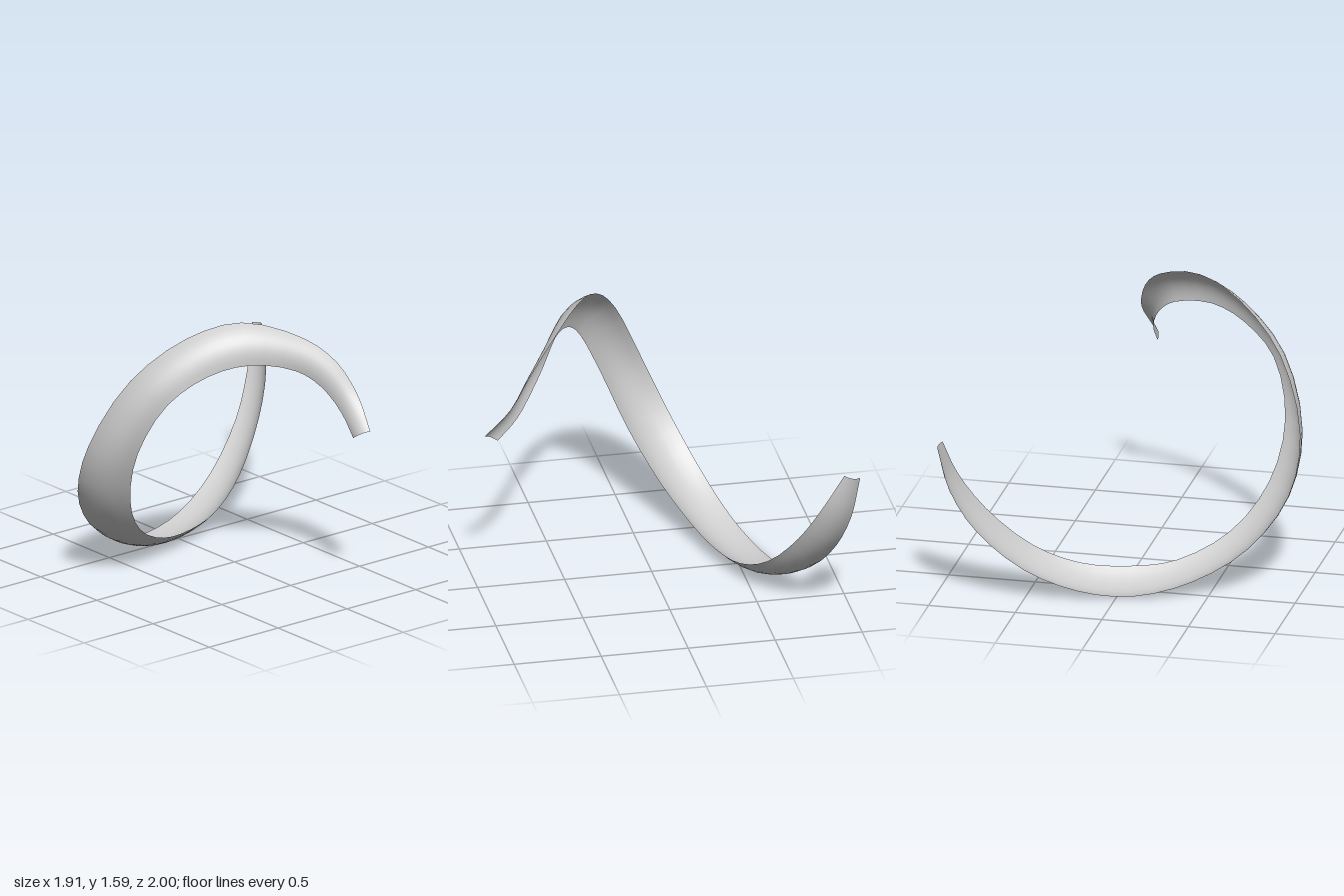
import * as THREE from 'three';

// Matching stations along the two long edges of the ribbon
const innerEdge = [
  [0.12, 0.975, 0.91], [0.12, 1.1, 0.8], [0.06, 1.235, 0.7], [-0.05, 1.33, 0.61],
  [-0.29, 1.385, 0.49], [-0.5, 1.335, 0.38], [-0.7, 1.18, 0.265], [-0.8, 0.87, 0.12],
  [-0.74, 0.54, -0.02], [-0.55, 0.28, -0.165], [-0.27, 0.13, -0.295], [-0.02, 0.1, -0.37],
  [0.25, 0.13, -0.46], [0.5, 0.255, -0.565], [0.74, 0.5, -0.69], [0.88, 0.74, -0.795],
  [0.94, 0.965, -0.91],
];
const outerEdge = [
  [0.17, 1.03, 1.0], [0.2, 1.2, 0.85], [0.15, 1.37, 0.73], [0.03, 1.5, 0.59],
  [-0.25, 1.6, 0.37], [-0.52, 1.52, 0.21], [-0.79, 1.28, 0.04], [-0.945, 0.88, -0.14],
  [-0.91, 0.56, -0.28], [-0.71, 0.28, -0.42], [-0.42, 0.1, -0.54], [-0.1, 0.025, -0.65],
  [0.2, 0.06, -0.73], [0.5, 0.2, -0.82], [0.75, 0.44, -0.905], [0.88, 0.68, -0.965],
  [0.945, 0.945, -1.0],
];

const curveThrough = (points) =>
  new THREE.CatmullRomCurve3(points.map((p) => new THREE.Vector3(...p)));

// Sweeps a shallow arc between two edge curves; sag is the arc height over its width
function ribbonGeometry(inner, outer, along, across, sag) {
  const positions = [];
  const indices = [];
  for (let i = 0; i <= along; i++) {
    const t = i / along;
    const a = inner.getPoint(t);
    const b = outer.getPoint(t);
    const chord = b.clone().sub(a);
    const tangent = inner.getTangent(t).add(outer.getTangent(t));
    const bulge = chord.clone().cross(tangent).normalize().multiplyScalar(sag * chord.length());
    for (let j = 0; j <= across; j++) {
      const v = j / across;
      const p = a.clone().addScaledVector(chord, v).addScaledVector(bulge, 4 * v * (1 - v));
      positions.push(p.x, p.y, p.z);
      if (i < along && j < across) {
        const k = i * (across + 1) + j;
        const n = k + across + 1;
        indices.push(k, k + 1, n, k + 1, n + 1, n);
      }
    }
  }
  const geometry = new THREE.BufferGeometry();
  geometry.setAttribute('position', new THREE.Float32BufferAttribute(positions, 3));
  geometry.setIndex(indices);
  geometry.computeVertexNormals();
  return geometry;
}

export function createModel() {
  const group = new THREE.Group();
  group.name = 'spiralRibbon';
  const lightGrey = new THREE.MeshStandardMaterial({ color: 0xcccccc, side: THREE.DoubleSide });
  lightGrey.name = 'light grey';

  // One curling strip, narrow at both ends and widest in the middle
  const ribbon = new THREE.Mesh(
    ribbonGeometry(curveThrough(innerEdge), curveThrough(outerEdge), 48, 8, 0.17),
    lightGrey
  );
  ribbon.name = 'ribbon';
  group.add(ribbon);
  return group;
}
